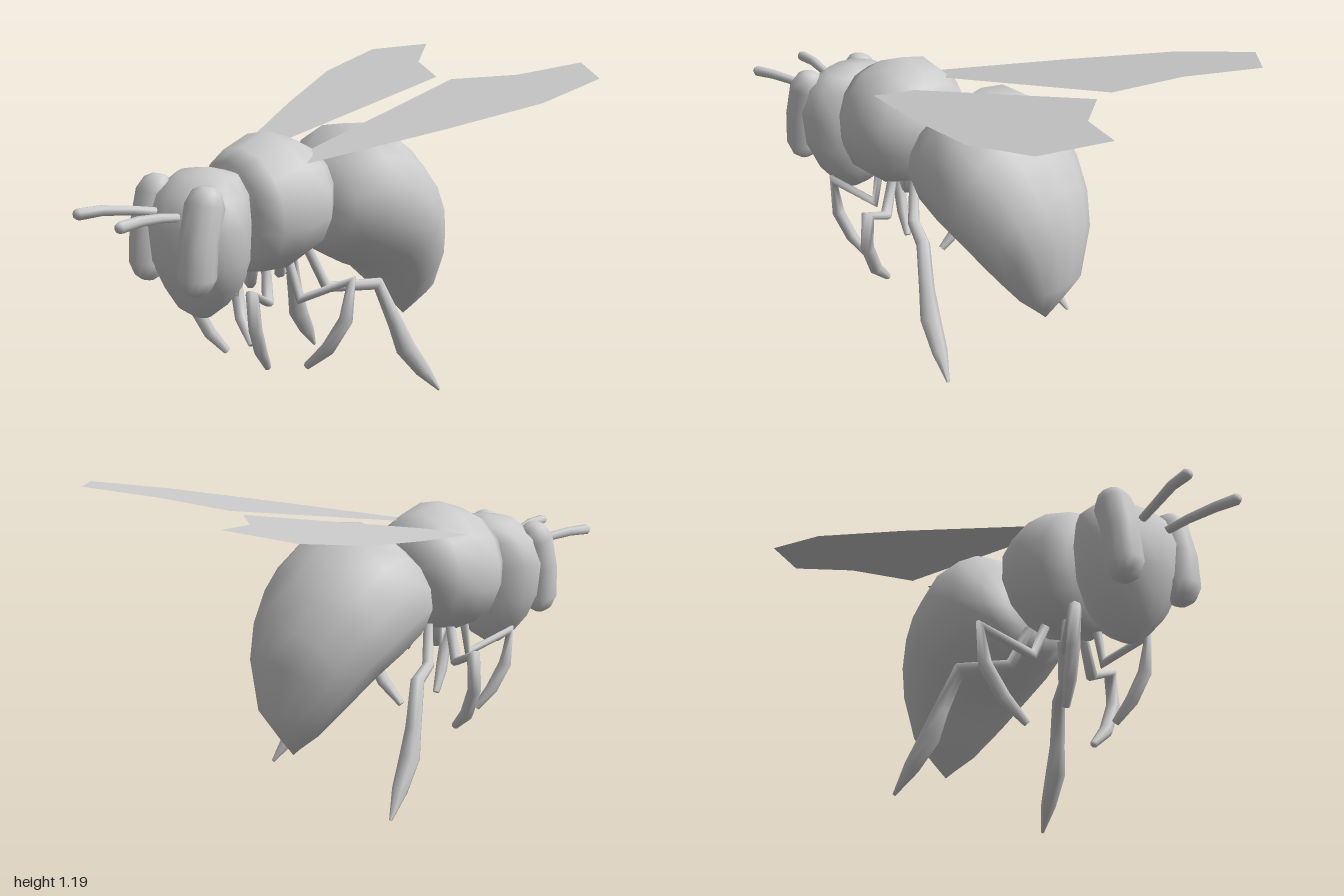
import * as THREE from 'three';

const grey = new THREE.MeshStandardMaterial({ color: 0xcccccc });
const thin = new THREE.MeshStandardMaterial({ color: 0xcccccc, side: THREE.DoubleSide });
const V = (x, y, z) => new THREE.Vector3(x, y, z);

// Skin a list of rings, each ending in a pole, with faces turned outwards
function skin(name, startPole, rings, endPole) {
  const n = rings[0].length, pts = [startPole, ...rings.flat(), endPole], faces = [];
  const last = pts.length - 1;
  for (let i = 0; i < n; i++) {
    const j = (i + 1) % n, e = last - n;
    faces.push([0, 1 + j, 1 + i], [last, e + i, e + j]);
    for (let k = 0; k < rings.length - 1; k++) {
      const a = 1 + k * n, b = a + n;
      faces.push([a + i, a + j, b + j], [a + i, b + j, b + i]);
    }
  }
  let volume = 0;
  for (const [a, b, c] of faces) volume += pts[a].dot(pts[b].clone().cross(pts[c]));
  if (volume < 0) faces.forEach((f) => f.reverse());
  const geo = new THREE.BufferGeometry().setFromPoints(pts);
  geo.setIndex(faces.flat());
  geo.computeVertexNormals();
  const mesh = new THREE.Mesh(geo, grey);
  mesh.name = name;
  return mesh;
}

// Body volume from oval sections: [zA, yA, zB, yB, halfWidth]; poles are [z, y]
function body(name, start, sections, end, sides = 14) {
  const rings = sections.map(([za, ya, zb, yb, w]) =>
    Array.from({ length: sides }, (_, i) => {
      const t = (i / sides) * Math.PI * 2, c = Math.cos(t);
      return V(w * Math.sin(t), (ya + yb) / 2 + (c * (ya - yb)) / 2, (za + zb) / 2 + (c * (za - zb)) / 2);
    }));
  return skin(name, V(0, start[1], start[0]), rings, V(0, end[1], end[0]));
}

// Jointed limb through points [x, y, z, radius], mirrored by side
function limb(name, side, path, sides = 7) {
  const p = path.map(([x, y, z]) => V(x * side, y, z));
  const normal = V(side, 0.1, 0.2);
  const rings = p.map((q, k) => {
    const t = V(0, 0, 0);
    if (k > 0) t.add(q.clone().sub(p[k - 1]).normalize());
    if (k < p.length - 1) t.add(p[k + 1].clone().sub(q).normalize());
    t.normalize();
    normal.addScaledVector(t, -normal.dot(t)).normalize();
    const other = t.clone().cross(normal);
    return Array.from({ length: sides }, (_, i) => {
      const a = (i / sides) * Math.PI * 2, r = path[k][3];
      return q.clone().addScaledVector(normal, r * Math.cos(a)).addScaledVector(other, r * Math.sin(a));
    });
  });
  return skin(name, p[0], rings, p[p.length - 1]);
}

// Flat wing lying on a plane that rises towards the back
function wing(name, side) {
  const outline = [[0.04, -0.66], [0.26, -0.79], [0.41, -1], [0.6, -0.86], [0.57, -0.56],
    [0.41, -0.2], [0.185, 0.24], [0.11, 0.2], [0.085, 0.13]];
  const geo = new THREE.ShapeGeometry(new THREE.Shape(outline.map(([x, z]) => new THREE.Vector2(x * side, -z))));
  const pos = geo.attributes.position;
  for (let i = 0; i < pos.count; i++) {
    const z = -pos.getY(i);
    pos.setXYZ(i, pos.getX(i), 0.99 - 0.208 * z, z);
  }
  geo.computeVertexNormals();
  const mesh = new THREE.Mesh(geo, thin);
  mesh.name = name;
  return mesh;
}

export function createModel() {
  const model = new THREE.Group();
  model.name = 'bee';

  // Head, stacked from crown to chin
  model.add(body('head', [0.53, 0.942], [
    [0.63, 0.925, 0.44, 0.915, 0.12],
    [0.71, 0.86, 0.42, 0.86, 0.185],
    [0.745, 0.76, 0.42, 0.76, 0.21],
    [0.74, 0.63, 0.42, 0.63, 0.195],
    [0.7, 0.53, 0.44, 0.53, 0.15],
    [0.66, 0.455, 0.48, 0.46, 0.085],
    [0.6, 0.415, 0.54, 0.42, 0.035],
  ], [0.57, 0.405]));

  // Thorax, from neck to waist
  model.add(body('thorax', [0.45, 0.75], [
    [0.46, 0.95, 0.44, 0.56, 0.17],
    [0.39, 0.99, 0.37, 0.535, 0.225],
    [0.27, 1.033, 0.27, 0.53, 0.245],
    [0.17, 1.0, 0.16, 0.57, 0.23],
    [0.1, 0.965, 0.1, 0.65, 0.17],
    [0.07, 0.88, 0.07, 0.74, 0.1],
  ], [0.06, 0.81]));

  // Abdomen, curling down to the pointed tail
  model.add(body('abdomen', [0.085, 0.71], [
    [0.055, 0.82, 0.083, 0.62, 0.13],
    [0.01, 0.915, 0.06, 0.565, 0.22],
    [-0.12, 1.013, 0, 0.53, 0.285],
    [-0.24, 1.0, -0.1, 0.475, 0.305],
    [-0.35, 0.92, -0.19, 0.435, 0.302],
    [-0.43, 0.845, -0.24, 0.395, 0.28],
    [-0.51, 0.725, -0.28, 0.355, 0.245],
    [-0.557, 0.59, -0.32, 0.315, 0.2],
    [-0.557, 0.38, -0.37, 0.27, 0.13],
    [-0.49, 0.265, -0.425, 0.22, 0.045],
  ], [-0.445, 0.195]));

  for (const side of [1, -1]) {
    const label = side > 0 ? 'left' : 'right';
    model.add(wing(label + 'Wing', side));

    // Long rounded eye
    model.add(limb(label + 'Eye', side, [
      [0.135, 0.912, 0.643, 0.025], [0.135, 0.895, 0.647, 0.05], [0.138, 0.85, 0.66, 0.069],
      [0.142, 0.73, 0.692, 0.066], [0.137, 0.61, 0.7, 0.068], [0.136, 0.565, 0.703, 0.048], [0.136, 0.547, 0.705, 0.022],
    ], 12));

    model.add(limb(label + 'Antenna', side, [
      [0.055, 0.8, 0.69, 0.015], [0.078, 0.82, 0.8, 0.017],
      [0.105, 0.832, 0.9, 0.019], [0.12, 0.83, 0.985, 0.021], [0.12, 0.83, 0.998, 0.014],
    ]));

    // Legs, hip to foot
    model.add(limb(label + 'FrontLeg', side, [
      [0.07, 0.58, 0.34, 0.018], [0.09, 0.435, 0.35, 0.022], [0.175, 0.515, 0.493, 0.024],
      [0.17, 0.38, 0.475, 0.025], [0.145, 0.28, 0.43, 0.024], [0.115, 0.205, 0.375, 0.014],
    ]));
    model.add(limb(label + 'MiddleLeg', side, [
      [0.09, 0.57, 0.25, 0.018], [0.14, 0.435, 0.238, 0.023], [0.315, 0.525, 0.155, 0.026],
      [0.305, 0.38, 0.172, 0.026], [0.24, 0.26, 0.2, 0.026], [0.155, 0.18, 0.222, 0.014],
    ]));
    model.add(limb(label + 'HindLeg', side, [
      [0.08, 0.59, 0.145, 0.018], [0.13, 0.45, 0.1, 0.023], [0.24, 0.455, -0.055, 0.026],
      [0.28, 0.3, -0.11, 0.03], [0.3, 0.2, -0.145, 0.039], [0.325, 0.1, -0.215, 0.03], [0.35, 0.01, -0.282, 0.006],
    ]));
  }
  return model;
}
